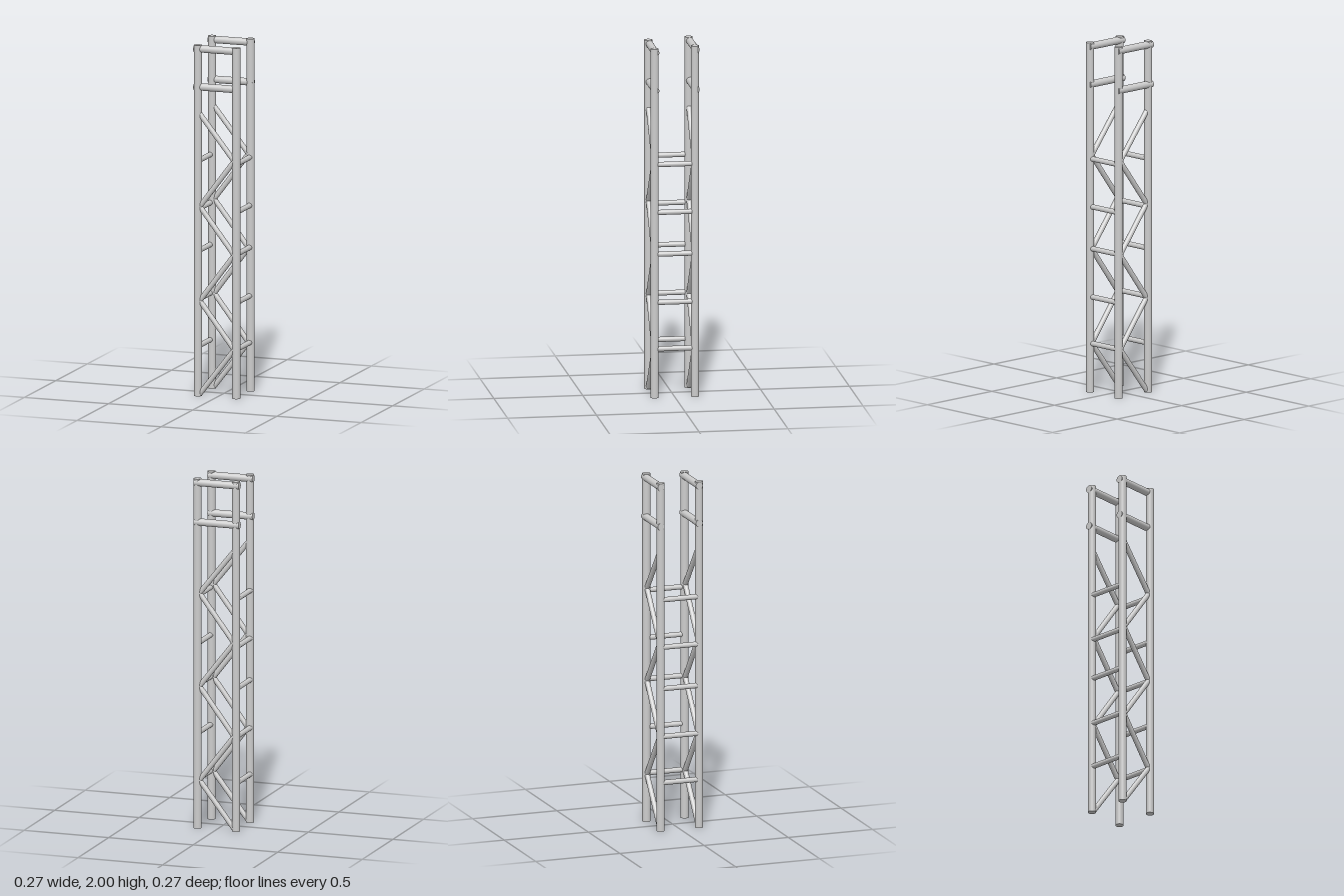
import * as THREE from 'three';

const material = new THREE.MeshStandardMaterial({ color: 0xcccccc });
const UP = new THREE.Vector3(0, 1, 0);

// Round tube between two points
function tube(name, from, to, radius) {
  const a = new THREE.Vector3(...from);
  const dir = new THREE.Vector3(...to).sub(a);
  const mesh = new THREE.Mesh(new THREE.CylinderGeometry(radius, radius, dir.length(), 32), material);
  mesh.name = name;
  mesh.position.copy(a).addScaledVector(dir, 0.5);
  mesh.quaternion.setFromUnitVectors(UP, dir.normalize());
  return mesh;
}

export function createModel() {
  const model = new THREE.Group();
  model.name = 'trussTower';

  const postX = 0.114, postZ = 0.1135;
  const zigzagHeights = [0.012, 0.275, 0.54, 0.812, 1.075, 1.345, 1.6];
  const rungHeights = [0.277, 0.542, 0.817, 1.055, 1.328];

  // Front and back ladder frames
  for (const side of [1, -1]) {
    const frame = new THREE.Group();
    frame.name = side > 0 ? 'frontFrame' : 'backFrame';
    const z = side * postZ;
    const height = side > 0 ? 1.99 : 2;

    // Upright posts
    for (const x of [-postX, postX]) {
      frame.add(tube('post', [x, 0, z], [x, height, z], 0.0225));
    }

    // Two crossbars at the top, set slightly towards the back
    for (const y of [height - 0.022, 1.752]) {
      frame.add(tube('crossbar', [-0.136, y, z - 0.0045], [0.13, y, z - 0.0045], 0.0205));
    }

    // Zigzag bracing
    for (let i = 0; i < zigzagHeights.length - 1; i++) {
      const x = i % 2 ? 0.102 : -0.102;
      frame.add(tube('diagonalBrace', [x, zigzagHeights[i], z], [-x, zigzagHeights[i + 1], z], 0.0145));
    }
    model.add(frame);
  }

  // Rungs joining the two frames on each side
  for (const x of [-0.119, 0.114]) {
    for (const y of rungHeights) {
      model.add(tube('sideRung', [x, y, -postZ], [x, y, postZ], 0.0145));
    }
  }
  return model;
}
